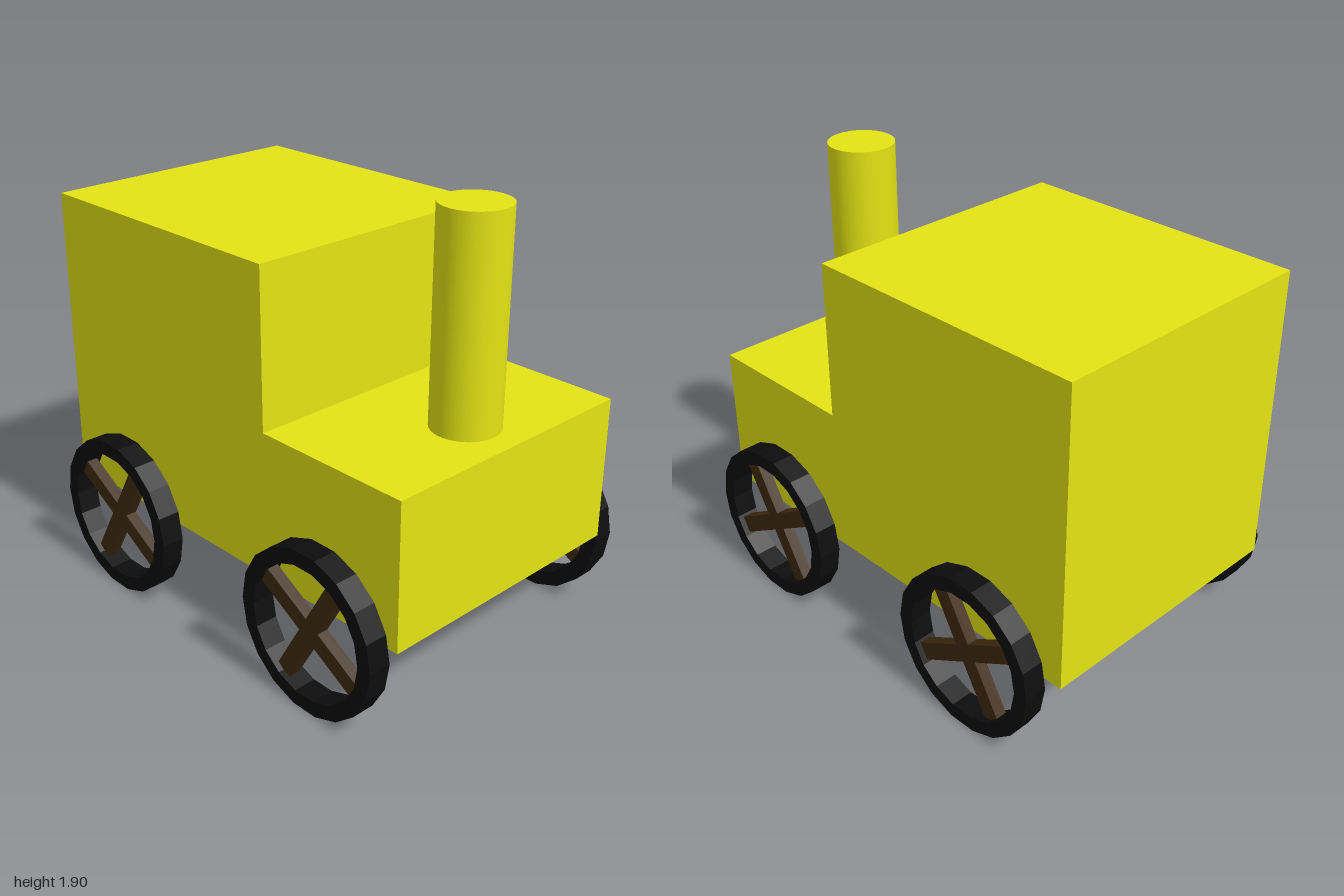
import * as THREE from 'three';

const paint = new THREE.MeshStandardMaterial({ color: 0xe4e414 });
const rubber = new THREE.MeshStandardMaterial({ color: 0x0d0d0d, flatShading: true });
const wood = new THREE.MeshStandardMaterial({ color: 0x3f2a10 });

const SIDES = 18;
const WHEEL_WIDTH = 0.1;

function addMesh(parent, name, geometry, material) {
  const mesh = new THREE.Mesh(geometry, material);
  mesh.name = name;
  parent.add(mesh);
  return mesh;
}

// Regular polygon outline for the faceted rim
function polygon(radius) {
  return Array.from({ length: SIDES }, (_, i) => {
    const a = (i / SIDES) * Math.PI * 2;
    return new THREE.Vector2(radius * Math.cos(a), radius * Math.sin(a));
  });
}

// Faceted rim with two crossed spoke bars
function createWheel(name) {
  const wheel = new THREE.Group();
  wheel.name = name;
  const ring = new THREE.Shape(polygon(0.352));
  ring.holes.push(new THREE.Path(polygon(0.287)));
  const rimGeometry = new THREE.ExtrudeGeometry(ring, { depth: WHEEL_WIDTH, bevelEnabled: false });
  rimGeometry.translate(0, 0, -WHEEL_WIDTH / 2);
  addMesh(wheel, 'rim', rimGeometry, rubber);

  for (const degrees of [60, -30]) {
    const bar = addMesh(wheel, 'spokeBar', new THREE.BoxGeometry(0.6, 0.075, 0.05), wood);
    bar.rotation.z = THREE.MathUtils.degToRad(degrees);
  }
  return wheel;
}

export function createModel() {
  const model = new THREE.Group();
  model.name = 'toyEngine';

  // Body: tall cabin and low bonnet in one stepped profile
  const profile = new THREE.Shape([
    [-1, 0.395], [1, 0.395], [1, 1.025], [0.28, 1.025], [0.28, 1.697], [-1, 1.697],
  ].map(([x, y]) => new THREE.Vector2(x, y)));
  const bodyGeometry = new THREE.ExtrudeGeometry(profile, { depth: 1.213, bevelEnabled: false });
  addMesh(model, 'body', bodyGeometry, paint).position.z = -0.615;

  // Chimney standing on the bonnet
  const chimney = addMesh(model, 'chimney', new THREE.CylinderGeometry(0.143, 0.143, 0.887, 48), paint);
  chimney.position.set(0.76, 1.025 + 0.887 / 2, -0.008);

  // Four wheels
  for (const [end, x] of [['rear', -0.58], ['front', 0.637]]) {
    for (const [side, z] of [['Left', -0.675], ['Right', 0.675]]) {
      const wheel = createWheel(`${end}${side}Wheel`);
      wheel.position.set(x, 0.357, z);
      model.add(wheel);
    }
  }
  return model;
}
